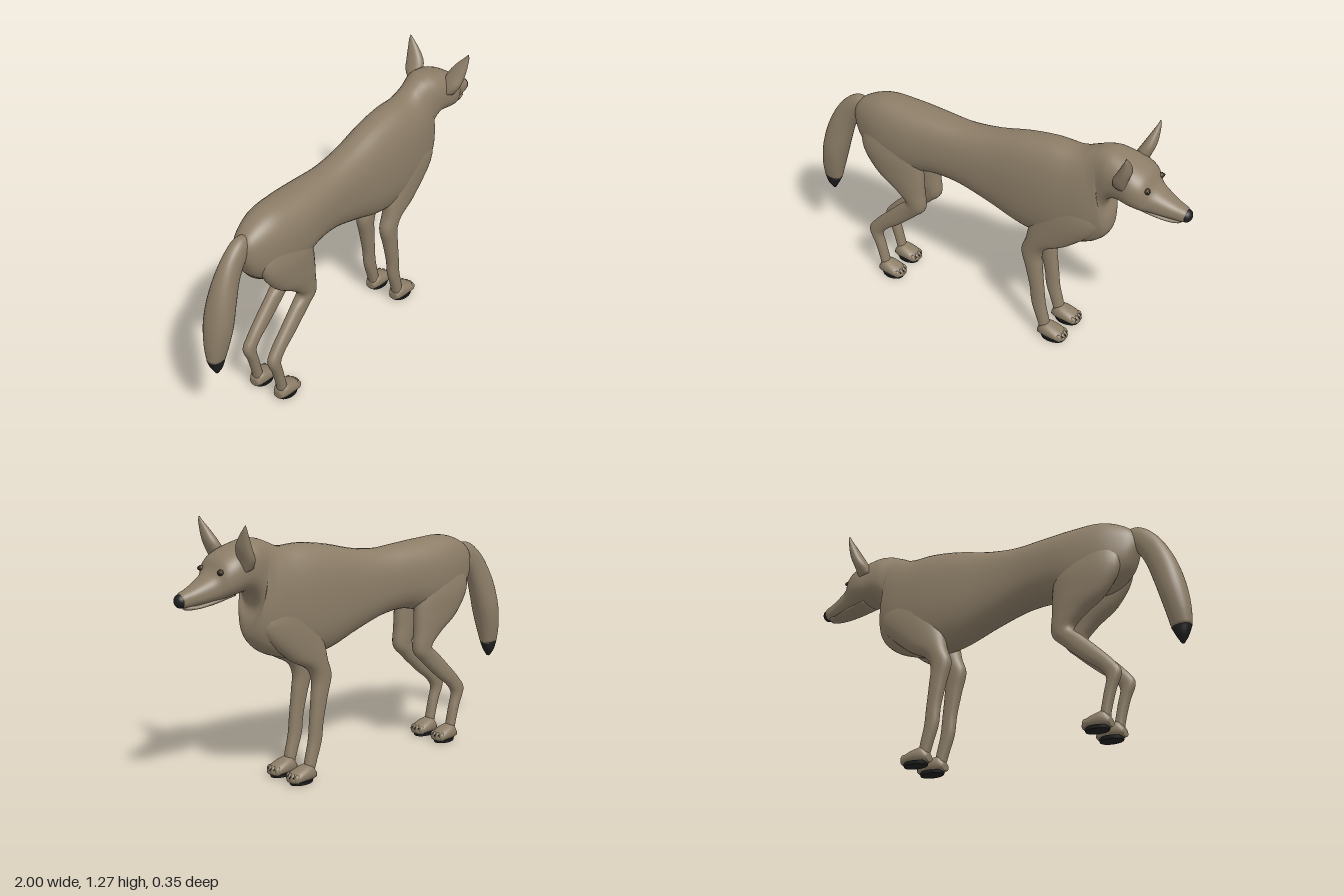
import * as THREE from 'three';

const mat = (name, color) => {
  const m = new THREE.MeshStandardMaterial({ color });
  m.name = name;
  return m;
};

// Skins a row of oval rings. Each station is [ax, ay, bx, by, z, halfWidth]:
// a and b are the two profile points, a lying to the left of the direction of travel.
function loft(stations, { sides = 28, steps = 5, power = 0.9 } = {}) {
  const curveA = new THREE.CatmullRomCurve3(stations.map(s => new THREE.Vector3(s[0], s[1], s[4])));
  const curveB = new THREE.CatmullRomCurve3(stations.map(s => new THREE.Vector3(s[2], s[3], s[5])));
  const n = (stations.length - 1) * steps;
  const pos = [], index = [];
  const soft = v => Math.sign(v) * Math.abs(v) ** power;
  for (let i = 0; i <= n; i++) {
    const a = curveA.getPoint(i / n), b = curveB.getPoint(i / n);
    for (let j = 0; j < sides; j++) {
      const t = (j / sides) * Math.PI * 2, c = soft(Math.cos(t)), s = soft(Math.sin(t));
      pos.push((a.x + b.x) / 2 + (a.x - b.x) / 2 * c, (a.y + b.y) / 2 + (a.y - b.y) / 2 * c, a.z + b.z * s);
      if (i === n) continue;
      const k = (j + 1) % sides, p = i * sides, q = p + sides;
      index.push(p + j, p + k, q + j, p + k, q + k, q + j);
    }
  }
  // end caps
  for (const [ring, flip] of [[0, true], [n, false]]) {
    const p = ring * sides;
    for (let j = 1; j < sides - 1; j++) {
      index.push(p, p + (flip ? j + 1 : j), p + (flip ? j : j + 1));
    }
  }
  const g = new THREE.BufferGeometry();
  g.setAttribute('position', new THREE.Float32BufferAttribute(pos, 3));
  g.setIndex(index);
  g.computeVertexNormals();
  return g;
}

export function createModel() {
  const fur = mat('fur', 0x8c7d67);
  const black = mat('black', 0x1f1f20);
  const eyeBrown = mat('eyeBrown', 0x46341f);

  const model = new THREE.Group();
  model.name = 'dog';
  const add = (name, geometry, material, parent = model) => {
    const m = new THREE.Mesh(geometry, material);
    m.name = name;
    parent.add(m);
    return m;
  };
  const ball = (name, material, p, s, parent) => {
    const m = add(name, new THREE.SphereGeometry(1, 20, 14), material, parent);
    m.position.set(...p);
    m.scale.set(...s);
    return m;
  };

  // Torso, neck and head in one skin, rump to muzzle
  const body = [
    [-0.775, 0.91, -0.775, 0.89, 0.015], [-0.75, 0.97, -0.76, 0.85, 0.045],
    [-0.70, 1.01, -0.72, 0.77, 0.078], [-0.60, 1.047, -0.62, 0.70, 0.112],
    [-0.45, 1.047, -0.45, 0.69, 0.126], [-0.30, 1.04, -0.30, 0.72, 0.116],
    [-0.15, 1.035, -0.17, 0.71, 0.106], [0, 1.055, 0, 0.66, 0.108],
    [0.18, 1.10, 0.18, 0.60, 0.122], [0.32, 1.12, 0.34, 0.585, 0.127],
    [0.43, 1.12, 0.46, 0.61, 0.122], [0.47, 1.13, 0.56, 0.655, 0.115],
    [0.50, 1.145, 0.615, 0.72, 0.105], [0.53, 1.158, 0.615, 0.79, 0.10],
    [0.56, 1.17, 0.59, 0.86, 0.097], [0.61, 1.177, 0.615, 0.92, 0.105],
    [0.67, 1.165, 0.66, 0.945, 0.112], [0.74, 1.14, 0.73, 0.94, 0.122],
    [0.79, 1.11, 0.78, 0.93, 0.108], [0.825, 1.055, 0.82, 0.925, 0.08],
    [0.87, 1.025, 0.87, 0.92, 0.062], [0.93, 0.995, 0.92, 0.917, 0.045],
    [0.97, 0.98, 0.965, 0.917, 0.034], [0.988, 0.965, 0.982, 0.928, 0.02],
  ].map(([ax, ay, bx, by, w]) => [ax, ay, bx, by, 0, w]);
  add('body', loft(body, { sides: 40, power: 0.84 }), fur);

  add('lowerJaw', loft([
    [0.72, 0.96, 0.72, 0.935, 0, 0.06], [0.82, 0.945, 0.82, 0.912, 0, 0.055],
    [0.90, 0.925, 0.91, 0.902, 0, 0.04], [0.945, 0.925, 0.95, 0.903, 0, 0.025],
    [0.958, 0.918, 0.958, 0.91, 0, 0.01],
  ]), fur);
  ball('nose', black, [0.973, 0.946, 0], [0.027, 0.031, 0.032]);

  // Tail with a dark tip
  const tailEnd = [-0.905, 0.44, -0.998, 0.445, 0, 0.036];
  add('tail', loft([
    [-0.70, 0.90, -0.70, 0.985, 0, 0.03], [-0.76, 0.86, -0.77, 0.99, 0, 0.04],
    [-0.80, 0.79, -0.85, 0.935, 0, 0.046], [-0.835, 0.69, -0.93, 0.81, 0, 0.06],
    [-0.865, 0.59, -0.98, 0.66, 0, 0.067], [-0.89, 0.50, -0.999, 0.53, 0, 0.053], tailEnd,
  ]), fur);
  add('tailTip', loft([
    tailEnd, [-0.925, 0.40, -0.98, 0.40, 0, 0.028], [-0.945, 0.365, -0.96, 0.365, 0, 0.008],
  ]), black);

  // Paw with toes, claws and a dark sole; x is the heel position
  function paw(name, x, z, length) {
    const g = new THREE.Group();
    g.name = name;
    g.position.set(x, 0, z);
    g.scale.x = length / 0.15;
    model.add(g);
    add('foot', loft([
      [0, 0.05, 0, 0.012, 0, 0.026], [0.03, 0.085, 0.02, 0.008, 0, 0.038],
      [0.08, 0.076, 0.08, 0.008, 0, 0.046], [0.125, 0.056, 0.125, 0.008, 0, 0.042],
      [0.145, 0.038, 0.145, 0.016, 0, 0.024],
    ]), fur, g);
    for (let i = 0; i < 4; i++) {
      const tz = (i - 1.5) * 0.021, tx = 0.133 - Math.abs(i - 1.5) * 0.008;
      ball('toe', fur, [tx, 0.034, tz], [0.017, 0.021, 0.0115], g);
      if (i < 3) ball('toeCrease', black, [0.141 - Math.abs(i - 1) * 0.006, 0.038, tz + 0.0105], [0.006, 0.010, 0.0025], g);
    }
    const sole = add('sole', new THREE.CylinderGeometry(1, 0.92, 0.016, 28), black, g);
    sole.position.set(0.074, 0.008, 0);
    sole.scale.set(0.066, 1, 0.042);
  }

  for (const [side, s] of [['left', 1], ['right', -1]]) {
    const mirrored = rows => rows.map(([ax, ay, bx, by, z, w]) => [ax, ay, bx, by, z * s, w]);

    add(side + 'FrontLeg', loft(mirrored([
      [0.53, 0.93, 0.37, 0.95, 0.055, 0.045], [0.595, 0.78, 0.28, 0.78, 0.066, 0.058],
      [0.44, 0.605, 0.235, 0.65, 0.07, 0.05], [0.325, 0.535, 0.218, 0.57, 0.07, 0.043],
      [0.30, 0.48, 0.196, 0.50, 0.07, 0.039], [0.305, 0.40, 0.22, 0.40, 0.072, 0.034],
      [0.318, 0.28, 0.247, 0.28, 0.074, 0.029], [0.328, 0.19, 0.257, 0.19, 0.074, 0.027],
      [0.348, 0.10, 0.287, 0.10, 0.074, 0.027], [0.36, 0.03, 0.31, 0.03, 0.073, 0.027],
    ])), fur);
    add(side + 'HindLeg', loft(mirrored([
      [-0.40, 0.92, -0.66, 0.94, 0.05, 0.05], [-0.365, 0.79, -0.70, 0.80, 0.065, 0.063],
      [-0.355, 0.70, -0.625, 0.665, 0.07, 0.057], [-0.352, 0.60, -0.51, 0.58, 0.072, 0.046],
      [-0.35, 0.50, -0.455, 0.52, 0.072, 0.038], [-0.40, 0.445, -0.50, 0.475, 0.072, 0.033],
      [-0.51, 0.345, -0.575, 0.40, 0.073, 0.03], [-0.585, 0.285, -0.65, 0.32, 0.073, 0.028],
      [-0.613, 0.24, -0.685, 0.265, 0.074, 0.027], [-0.60, 0.17, -0.655, 0.18, 0.074, 0.026],
      [-0.583, 0.09, -0.63, 0.09, 0.074, 0.026], [-0.57, 0.03, -0.62, 0.03, 0.073, 0.026],
    ])), fur);
    paw(side + 'FrontPaw', 0.30, 0.073 * s, 0.15);
    paw(side + 'HindPaw', -0.63, 0.073 * s, 0.14);

    add(side + 'Ear', loft(mirrored([
      [0.655, 1.07, 0.72, 1.05, 0.095, 0.03], [0.665, 1.11, 0.73, 1.10, 0.11, 0.045],
      [0.69, 1.16, 0.75, 1.16, 0.122, 0.045], [0.715, 1.21, 0.753, 1.21, 0.142, 0.03],
      [0.735, 1.25, 0.75, 1.25, 0.162, 0.012], [0.742, 1.268, 0.746, 1.268, 0.168, 0.002],
    ])), fur);

    // Eye with pupil
    ball(side + 'Eye', eyeBrown, [0.808, 1.058, 0.07 * s], [0.014, 0.014, 0.015]);
    ball(side + 'Pupil', black, [0.816, 1.058, 0.077 * s], [0.008, 0.009, 0.008]);
  }
  return model;
}
